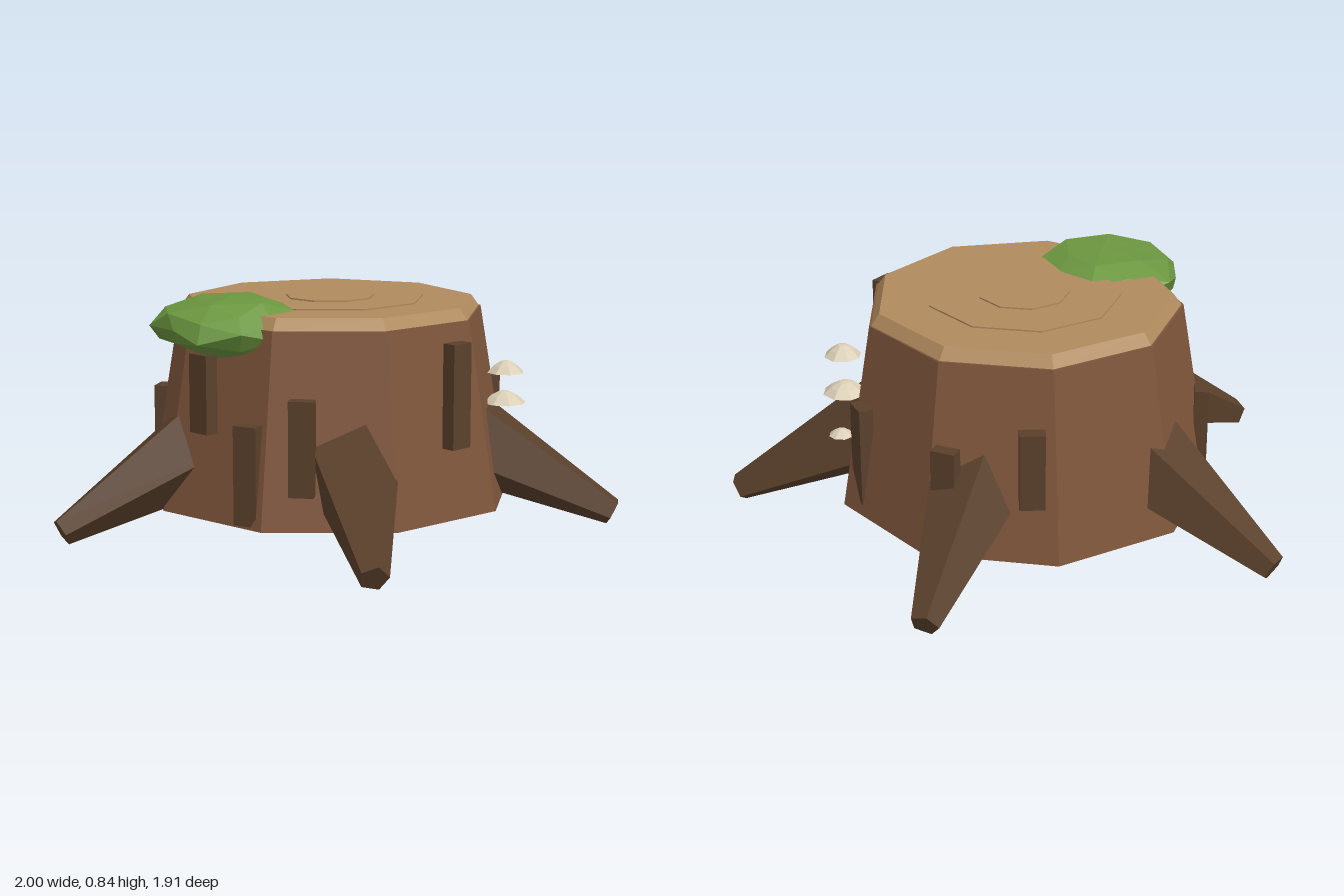
import * as THREE from 'three';

const CX = 0.015, CZ = -0.085; // trunk axis
const mat = (name, color) => {
  const m = new THREE.MeshStandardMaterial({ color, flatShading: true });
  m.name = name;
  return m;
};

export function createModel() {
  const bark = mat('bark brown', 0x80563c);
  const darkBark = mat('dark bark brown', 0x5a402b);
  const wood = mat('cut wood tan', 0xb08a5c);
  const mossGreen = mat('moss green', 0x6b963f);
  const cream = mat('mushroom cream', 0xd9cdb5);

  const model = new THREE.Group();
  model.name = 'treeStump';
  const add = (name, geometry, material, x, y, z) => {
    const mesh = new THREE.Mesh(geometry, material);
    mesh.name = name;
    mesh.position.set(x, y, z);
    model.add(mesh);
    return mesh;
  };

  // Nine-sided drum standing on height y0 with a corner towards +x
  const drum = (name, rTop, rBottom, y0, y1, material) =>
    add(name, new THREE.CylinderGeometry(rTop, rBottom, y1 - y0, 9, 1, false, Math.PI / 2),
      material, CX, (y0 + y1) / 2, CZ);
  drum('trunk', 0.553, 0.665, 0.1, 0.76, bark);
  drum('cutTop', 0.517, 0.546, 0.76, 0.8, wood);
  drum('outerGrowthRing', 0.34, 0.34, 0.8, 0.805, wood);
  drum('innerGrowthRing', 0.16, 0.16, 0.805, 0.81, wood);

  // Five-sided tapering roots: [angle from +x towards +z, reach, roll], in degrees
  [[19, 1.02, 36], [92, 1.02, 14], [164, 1.02, 18], [235.5, 1.02, 36], [308.5, 0.995, 18]]
    .forEach(([angle, reach, roll], i) => {
      const a = THREE.MathUtils.degToRad(angle);
      const at = (d, y) => new THREE.Vector3(CX + d * Math.cos(a), y, CZ + d * Math.sin(a));
      const base = at(0.435, 0.345), tip = at(reach, 0.055);
      const length = base.distanceTo(tip);
      const g = new THREE.CylinderGeometry(0.05, 0.185, length, 5, 1, false, Math.PI);
      g.translate(0, length / 2, 0).rotateX(Math.PI / 2).rotateZ(-THREE.MathUtils.degToRad(roll));
      add('root' + (i + 1), g, darkBark, base.x, base.y, base.z).lookAt(tip);
    });

  // Upright bark strips facing outwards: [x, z, bottom, top]
  [[-0.48, 0.27, 0.4, 0.67], [-0.35, 0.42, 0.11, 0.45], [-0.18, 0.5, 0.22, 0.545],
    [0.36, 0.43, 0.35, 0.71], [0.62, -0.14, 0.14, 0.495], [0.45, -0.53, 0.08, 0.485],
    [0.2, -0.67, 0.3, 0.57], [-0.56, -0.33, 0.17, 0.46]]
    .forEach(([x, z, y0, y1], i) => {
      const strip = add('barkStrip' + (i + 1), new THREE.BoxGeometry(0.085, y1 - y0, 0.05),
        darkBark, x, (y0 + y1) / 2, z);
      strip.rotation.y = Math.atan2(x - CX, z - CZ);
    });

  // Lumpy moss cushion draped over the rim, thicker on its outer side
  const moss = new THREE.IcosahedronGeometry(1, 1);
  const p = moss.attributes.position;
  const v = new THREE.Vector3();
  for (let i = 0; i < p.count; i++) {
    v.fromBufferAttribute(p, i);
    const lump = 1 + 0.07 * Math.sin(5 * v.x + 3 * v.z) + 0.06 * Math.cos(6 * v.z - 4 * v.y);
    const square = 1 + 0.22 * Math.abs(v.x * v.z);
    const drop = v.y < 0 ? 0.11 : 0.1;
    p.setXYZ(i, v.x * 0.25 * lump * square, v.y * drop * lump, v.z * 0.255 * lump * square);
  }
  moss.computeVertexNormals();
  add('moss', moss, mossGreen, -0.365, 0.75, 0.125);

  // Shelf mushrooms: [x, y, z, radius, height]
  [[0.6, 0.555, 0.16, 0.066, 0.042], [0.61, 0.437, 0.11, 0.078, 0.042],
    [0.655, 0.323, 0.01, 0.044, 0.024]]
    .forEach(([x, y, z, r, h], i) => {
      const profile = [[0, 0], [r, 0], [r * 0.65, h * 0.55], [r * 0.25, h * 0.95], [0, h]]
        .map(([a, b]) => new THREE.Vector2(a, b));
      add('mushroom' + (i + 1), new THREE.LatheGeometry(profile, 8), cream, x, y, z);
    });

  return model;
}
